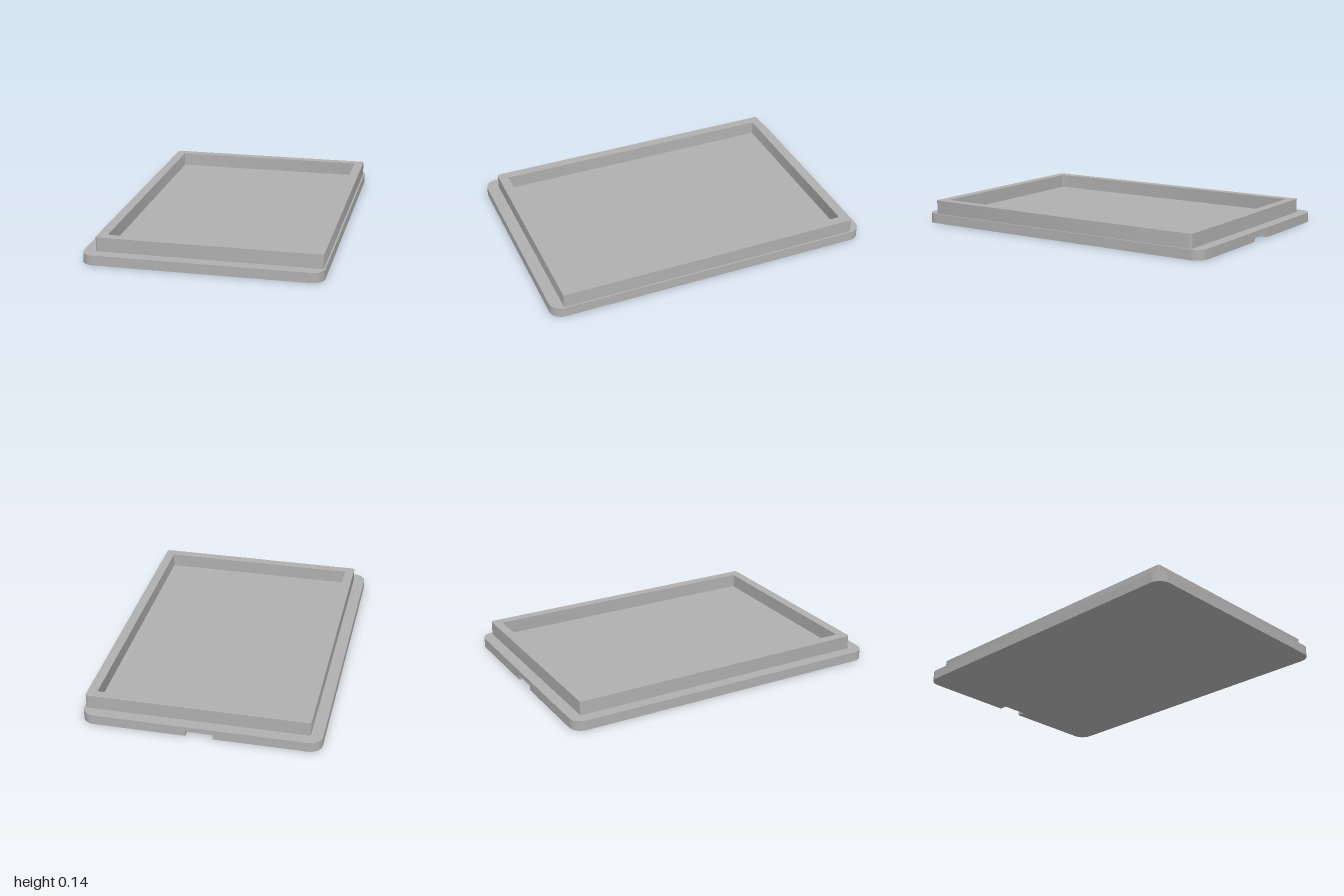
import * as THREE from 'three';
import { toCreasedNormals } from 'three/addons/utils/BufferGeometryUtils.js';

// Rounded rectangle outline; an optional notch is cut into the edge at y1
function roundedRect(path, x0, x1, y0, y1, r, notch) {
  path.moveTo(x0 + r, y0);
  path.lineTo(x1 - r, y0);
  path.absarc(x1 - r, y0 + r, r, -Math.PI / 2, 0, false);
  path.lineTo(x1, y1 - r);
  path.absarc(x1 - r, y1 - r, r, 0, Math.PI / 2, false);
  if (notch) {
    path.lineTo(notch.half, y1);
    path.lineTo(notch.half, y1 - notch.depth);
    path.lineTo(-notch.half, y1 - notch.depth);
    path.lineTo(-notch.half, y1);
  }
  path.lineTo(x0 + r, y1);
  path.absarc(x0 + r, y1 - r, r, Math.PI / 2, Math.PI, false);
  path.lineTo(x0, y0 + r);
  path.absarc(x0 + r, y0 + r, r, Math.PI, Math.PI * 1.5, false);
  return path;
}

// Extrude an outline upwards from one height to another
function slab(name, shape, bottom, top, material) {
  let geometry = new THREE.ExtrudeGeometry(shape, {
    depth: top - bottom, bevelEnabled: false, curveSegments: 10,
  });
  geometry.rotateX(-Math.PI / 2);
  geometry.translate(0, bottom, 0);
  geometry = toCreasedNormals(geometry, Math.PI / 6);
  const mesh = new THREE.Mesh(geometry, material);
  mesh.name = name;
  return mesh;
}

export function createModel() {
  const group = new THREE.Group();
  group.name = 'lid';
  const grey = new THREE.MeshStandardMaterial({ color: 0xb0b0b0 });
  grey.name = 'grey plastic';

  // Base plate in two layers, the lower one with the pry notch in the back edge
  const notch = { half: 0.08, depth: 0.05 };
  const lower = roundedRect(new THREE.Shape(), -0.7, 0.7, -1, 1, 0.075, notch);
  const upper = roundedRect(new THREE.Shape(), -0.7, 0.7, -1, 1, 0.075);
  group.add(slab('lowerPlate', lower, 0, 0.03, grey));
  group.add(slab('upperPlate', upper, 0.03, 0.06, grey));

  // Raised rim, set off towards +x
  const rim = roundedRect(new THREE.Shape(), -0.63, 0.69, -0.928, 0.93, 0.016);
  rim.holes.push(roundedRect(new THREE.Path(), -0.572, 0.632, -0.87, 0.874, 0.012));
  group.add(slab('rim', rim, 0.06, 0.144, grey));

  return group;
}
